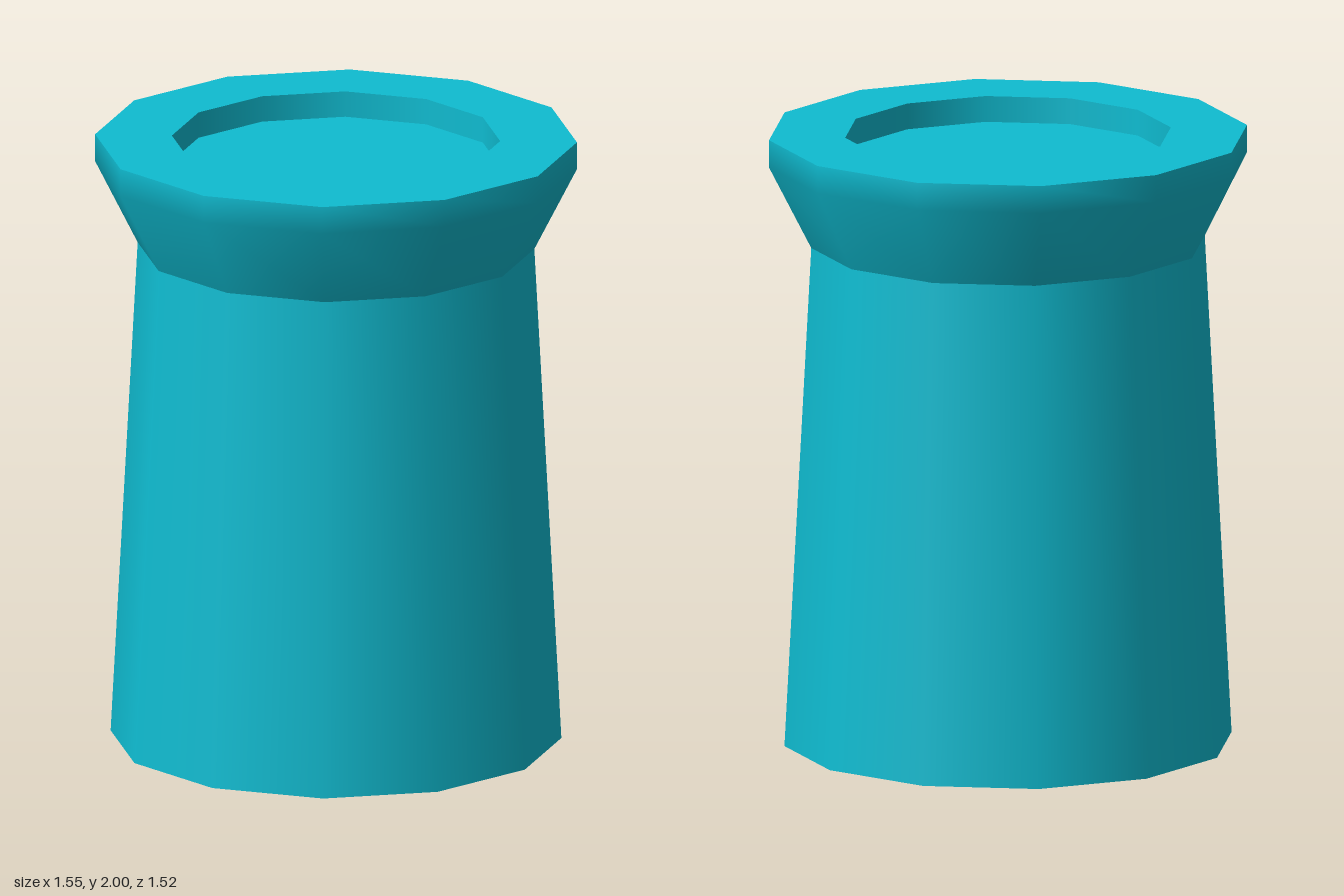
import * as THREE from 'three';

const SIDES = 12;

export function createModel() {
  const group = new THREE.Group();
  const teal = new THREE.MeshStandardMaterial({ color: 0x0fbcd1, side: THREE.DoubleSide });
  teal.name = 'teal';

  // Revolves a [radius, height] profile; each part is smooth, with sharp edges between parts
  const addPart = (name, profile) => {
    const points = profile.map(([r, y]) => new THREE.Vector2(r, y));
    const mesh = new THREE.Mesh(new THREE.LatheGeometry(points, SIDES), teal);
    mesh.name = name;
    mesh.scale.z = 0.982; // slightly oval
    group.add(mesh);
  };

  // Tapered tube, open at the bottom
  addPart('body', [[0.725, 0], [0.638, 1.64]]);
  // Flared collar with an upright rim band
  addPart('collar', [[0.638, 1.64], [0.775, 1.91], [0.775, 2]]);
  // Flat top ring around a shallow recess
  addPart('rimTop', [[0.775, 2], [0.528, 2]]);
  addPart('recessWall', [[0.528, 2], [0.528, 1.915]]);
  addPart('recessFloor', [[0.528, 1.915], [0, 1.915]]);

  return group;
}
